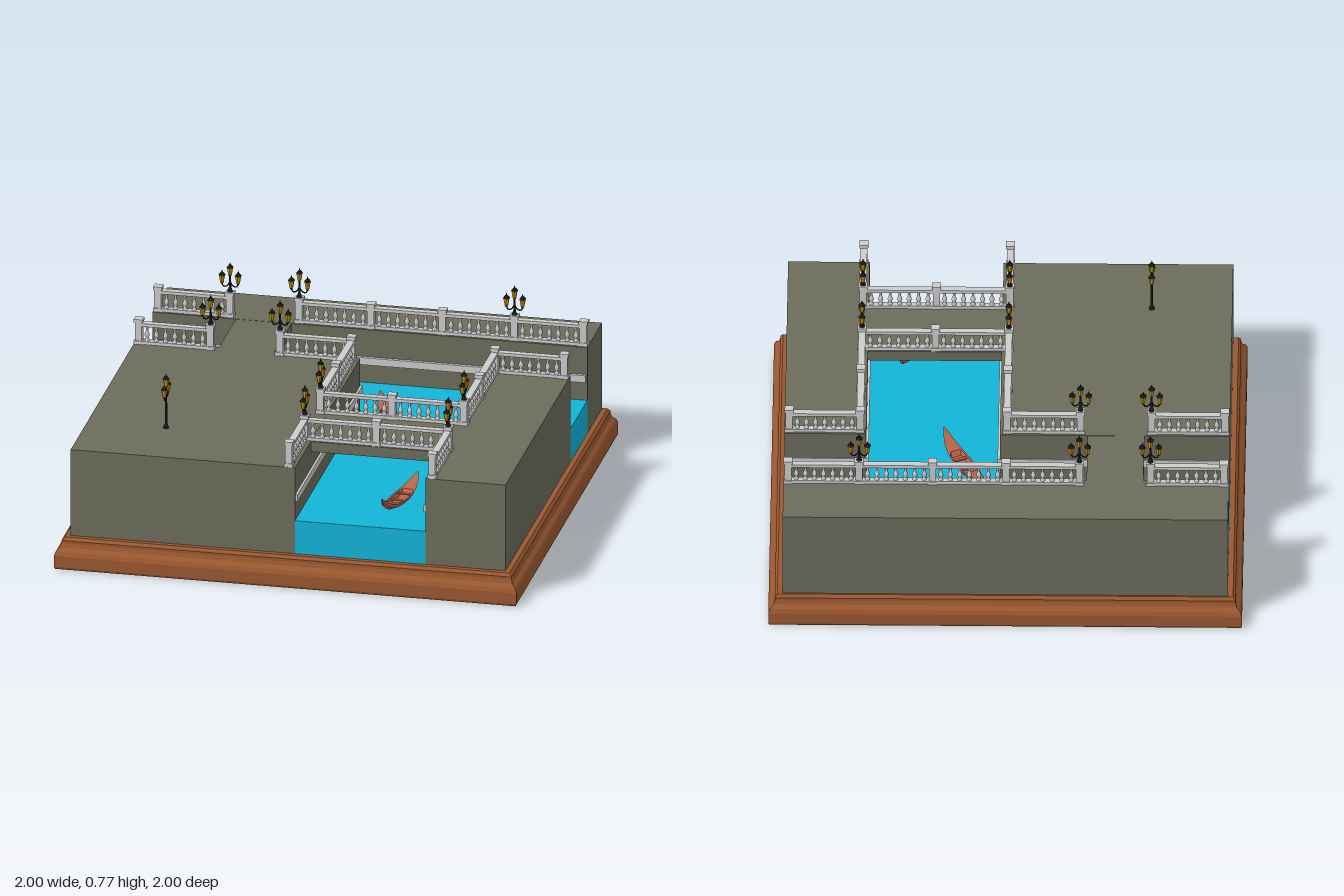
import * as THREE from 'three';

const mat = (color, extra = {}) => new THREE.MeshStandardMaterial({ color, ...extra });
const stone = mat(0xcccccc);
const ground = mat(0x6b6c5b);
const water = mat(0x12b4d8);
const wood = mat(0x9a5830, { flatShading: true });
const hullWood = mat(0xb8644a, { flatShading: true, side: THREE.DoubleSide });
const iron = mat(0x16181a);
const glass = mat(0xc8940c, { flatShading: true });

const TOP = 0.525, BASE = 0.135;

function add(parent, name, geometry, material, x = 0, y = 0, z = 0) {
  const m = new THREE.Mesh(geometry, material);
  m.name = name;
  m.position.set(x, y, z);
  parent.add(m);
  return m;
}

// Box given by its limits on each axis
function block(parent, name, material, x0, x1, y0, y1, z0, z1) {
  return add(parent, name, new THREE.BoxGeometry(x1 - x0, y1 - y0, z1 - z0), material,
    (x0 + x1) / 2, (y0 + y1) / 2, (z0 + z1) / 2);
}

const lathe = (pts, n) => new THREE.LatheGeometry(pts.map(([r, y]) => new THREE.Vector2(r, y)), n);

// Square moulded plinth: a four-sided lathe
function plinth() {
  const profile = [[0, 0], [0.995, 0], [1, 0.01], [1, 0.06], [0.993, 0.078], [0.978, 0.093],
    [0.973, 0.11], [0.973, 0.122], [0.962, BASE], [0, BASE]];
  return lathe(profile.map(([r, y]) => [r * Math.SQRT2, y]), 4).rotateY(Math.PI / 4);
}

const balusterGeo = lathe([[0.010, 0], [0.010, 0.008], [0.005, 0.012], [0.011, 0.024], [0.010, 0.032],
  [0.005, 0.046], [0.005, 0.056], [0.009, 0.060], [0.009, 0.068]], 8);

function post(parent, x, z) {
  const g = new THREE.Group();
  g.name = 'railingPost';
  g.position.set(x, TOP, z);
  add(g, 'postFoot', new THREE.BoxGeometry(0.038, 0.016, 0.038), stone, 0, 0.008, 0);
  add(g, 'postShaft', new THREE.BoxGeometry(0.03, 0.092, 0.03), stone, 0, 0.058, 0);
  add(g, 'postCap', new THREE.BoxGeometry(0.038, 0.014, 0.038), stone, 0, 0.106, 0);
  parent.add(g);
}

// One bay of railing between two posts
function bay(parent, x0, z0, x1, z1) {
  const length = Math.hypot(x1 - x0, z1 - z0), n = 7;
  const g = new THREE.Group();
  g.name = 'balustrade';
  g.position.set((x0 + x1) / 2, TOP, (z0 + z1) / 2);
  g.rotation.y = Math.atan2(-(z1 - z0), x1 - x0);
  add(g, 'bottomRail', new THREE.BoxGeometry(length, 0.014, 0.028), stone, 0, 0.007, 0);
  add(g, 'topRail', new THREE.BoxGeometry(length, 0.014, 0.03), stone, 0, 0.088, 0);
  for (let i = 0; i < n; i++) {
    const x = ((i + 0.5) / n - 0.5) * (length - 0.03);
    add(g, 'baluster', balusterGeo, stone, x, 0.014, 0);
  }
  parent.add(g);
}

// Lantern with tapered glass, iron cap and finial
function lantern(parent, x, y) {
  const g = new THREE.Group();
  g.name = 'lantern';
  g.position.set(x, y, 0);
  add(g, 'lanternCup', new THREE.CylinderGeometry(0.008, 0.004, 0.008, 6), iron, 0, 0.004, 0);
  add(g, 'lanternGlass', new THREE.CylinderGeometry(0.014, 0.008, 0.034, 6), glass, 0, 0.025, 0);
  add(g, 'lanternCap', new THREE.CylinderGeometry(0.006, 0.016, 0.012, 6), iron, 0, 0.047, 0);
  add(g, 'lanternFinial', new THREE.ConeGeometry(0.004, 0.014, 6), iron, 0, 0.06, 0);
  parent.add(g);
}

// Three-lantern lamp; its arms spread along x unless turned
function lamp(parent, x, z, turned, standing = false) {
  const g = new THREE.Group();
  g.name = 'streetLamp';
  g.position.set(x, 0, z);
  if (turned) g.rotation.y = Math.PI / 2;
  const foot = standing ? TOP : 0.637;
  add(g, 'lampPole', new THREE.CylinderGeometry(0.004, 0.006, 0.708 - foot, 8), iron, 0, (0.708 + foot) / 2, 0);
  add(g, 'lampFoot', new THREE.CylinderGeometry(0.006, 0.013, 0.02, 8), iron, 0, foot + 0.01, 0);
  for (const s of [-1, 1]) {
    const arm = new THREE.CatmullRomCurve3([[0, 0.685], [0.012, 0.664], [0.028, 0.66], [0.035, 0.674]]
      .map(([ax, ay]) => new THREE.Vector3(s * ax, ay, 0)));
    add(g, 'lampArm', new THREE.TubeGeometry(arm, 8, 0.003, 5), iron);
    lantern(g, s * 0.035, 0.67);
  }
  lantern(g, 0, 0.706);
  parent.add(g);
}

// Rowing boat lofted from cross-sections, taller tip at +z
function boat(parent, x, z, turn) {
  const rows = 28, half = 0.195, pos = [], idx = [];
  for (let i = 0; i <= rows; i++) {
    const t = -1 + (2 * i) / rows, a = Math.abs(t);
    const w = 0.038 * Math.pow(1 - a * a, 0.8) + 0.002;
    const lift = t > 0 ? 0.06 : 0.042;
    const top = 0.03 + lift * a ** 3, keel = 0.004 + (lift + 0.006) * a ** 3.5;
    const mid = keel + (top - keel) * 0.35;
    const floor = a < 0.42 ? top - 0.018 : top + 0.003 * (1 - a);
    const loop = [[-w, top], [-0.75 * w, mid], [0, keel], [0.75 * w, mid], [w, top],
      [0.8 * w, top], [0.6 * w, floor], [-0.6 * w, floor], [-0.8 * w, top]];
    for (const [px, py] of loop) pos.push(px, py, t * half);
    if (i === rows) continue;
    for (let j = 0; j < 9; j++) {
      const p = i * 9 + j, q = i * 9 + ((j + 1) % 9);
      idx.push(p, q, q + 9, p, q + 9, p + 9);
    }
  }
  const geo = new THREE.BufferGeometry();
  geo.setAttribute('position', new THREE.Float32BufferAttribute(pos, 3));
  geo.setIndex(idx);
  geo.computeVertexNormals();
  const g = new THREE.Group();
  g.name = 'boat';
  g.position.set(x, 0.285, z);
  g.rotation.y = turn;
  add(g, 'hull', geo, hullWood);
  for (const s of [-0.045, 0.03]) add(g, 'boatSeat', new THREE.BoxGeometry(0.052, 0.004, 0.016), hullWood, 0, 0.027, s);
  parent.add(g);
}

export function createModel() {
  const model = new THREE.Group();
  model.name = 'canalDiorama';
  add(model, 'plinth', plinth(), wood);

  // Quays
  block(model, 'backQuay', ground, -0.94, 0.94, BASE, TOP, -0.955, -0.665);
  block(model, 'rightQuay', ground, -0.94, 0.03, BASE, TOP, -0.335, 0.94);
  block(model, 'leftQuay', ground, 0.595, 0.94, BASE, TOP, -0.335, 0.94);

  // Bridges
  block(model, 'sideBridge', ground, -0.58, -0.34, 0.478, TOP - 0.001, -0.665, -0.335);
  block(model, 'frontBridge', ground, 0.03, 0.595, 0.478, TOP - 0.001, 0.28, 0.63);

  // Water
  block(model, 'crossCanalWater', water, -0.94, 0.94, BASE, 0.285, -0.665, -0.335);
  block(model, 'frontCanalWater', water, 0.03, 0.595, BASE, 0.285, -0.335, 0.94);

  // Stone ledges along the canal walls
  const ledges = [[-0.935, 0.935, -0.67, -0.65], [-0.935, 0.04, -0.34, -0.329], [0.585, 0.935, -0.34, -0.329],
    [0.025, 0.04, -0.335, 0.935], [0.585, 0.6, -0.335, 0.935]];
  for (const [x0, x1, z0, z1] of ledges) block(model, 'wallLedge', stone, x0, x1, 0.37, 0.402, z0, z1);

  // Railings: each run is a chain of posts with a bay between neighbours
  const runs = [
    [[-0.92, -0.69], [-0.61, -0.69]],
    [[-0.31, -0.69], [0, -0.69], [0.31, -0.69], [0.62, -0.69], [0.92, -0.69]],
    [[-0.92, -0.31], [-0.61, -0.31]],
    [[-0.31, -0.31], [0, -0.31], [0, 0], [0, 0.3], [0.31, 0.3], [0.62, 0.3], [0.62, 0], [0.62, -0.31], [0.92, -0.31]],
    [[0, 0.92], [0, 0.61], [0.31, 0.61], [0.62, 0.61], [0.62, 0.92]],
  ];
  for (const run of runs) {
    run.forEach(([x, z], i) => {
      post(model, x, z);
      if (i) bay(model, ...run[i - 1], x, z);
    });
  }

  // Lamps on the posts, and one standing on the square
  for (const [x, z] of [[-0.61, -0.69], [-0.31, -0.69], [0.62, -0.69], [-0.61, -0.31], [-0.31, -0.31]]) lamp(model, x, z, false);
  for (const x of [0, 0.62]) for (const z of [0.3, 0.61]) lamp(model, x, z, true);
  lamp(model, -0.6, 0.61, true, true);

  boat(model, 0.185, -0.235, 0.45);
  boat(model, 0.42, 0.65, -0.18);
  return model;
}
